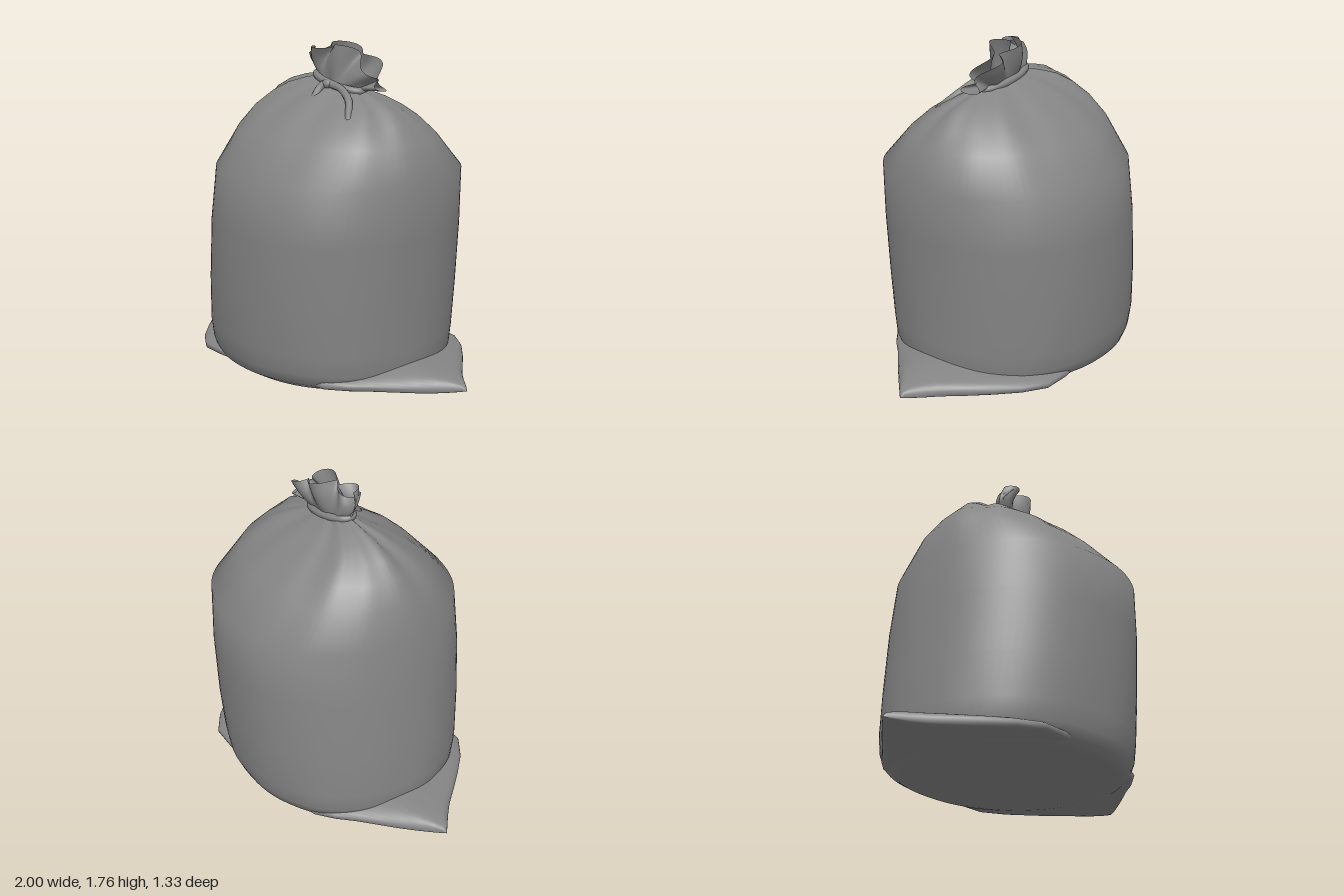
import * as THREE from 'three';

const V = (x, y, z) => new THREE.Vector3(x, y, z);
const material = new THREE.MeshStandardMaterial({ color: 0x858585, side: THREE.DoubleSide });

// Skins a list of closed rings that all have the same number of points
function loft(name, rings) {
  const n = rings[0].length, index = [];
  for (let i = 0; i < rings.length - 1; i++) {
    for (let j = 0; j < n; j++) {
      const a = i * n + j, b = i * n + (j + 1) % n;
      index.push(a, a + n, b, b, a + n, b + n);
    }
  }
  const geometry = new THREE.BufferGeometry().setFromPoints(rings.flat());
  geometry.setIndex(index);
  geometry.computeVertexNormals();
  const mesh = new THREE.Mesh(geometry, material);
  mesh.name = name;
  return mesh;
}

const ring = (n, fn) => Array.from({ length: n }, (_, j) => fn((j / n) * Math.PI * 2));
const soft = (v) => Math.sign(v) * Math.abs(v) ** 0.93;
const pleats = (u) => 0.6 * Math.cos(8 * u + 0.6) + 0.4 * Math.sin(13 * u + 1);

// Filled body, gathered towards the neck
function sackBody() {
  // height, centre x, half width, half depth, tilt, pleat depth
  const sections = [
    [0.005, 0, 0.001, 0.001, 0, 0],
    [0.005, 0, 0.58, 0.52, 0, 0],
    [0.012, 0, 0.62, 0.56, 0, 0],
    [0.04, -0.01, 0.66, 0.605, 0, 0.004],
    [0.1, -0.01, 0.68, 0.63, 0, 0.006],
    [0.2, -0.01, 0.685, 0.645, 0, 0.004],
    [0.45, 0.005, 0.68, 0.66, 0, 0],
    [0.8, 0.03, 0.672, 0.664, 0, 0],
    [1.1, 0.056, 0.66, 0.645, 0, 0.003],
    [1.29, 0.04, 0.59, 0.468, -0.01, 0.012],
    [1.39, 0.037, 0.51, 0.355, -0.03, 0.03],
    [1.46, 0.04, 0.43, 0.245, -0.05, 0.055],
    [1.505, 0.045, 0.34, 0.165, -0.08, 0.08],
    [1.535, 0.06, 0.24, 0.095, -0.13, 0.1],
    [1.555, 0.075, 0.165, 0.06, -0.17, 0.12],
  ];
  return loft('sackBody', sections.map(([y, cx, rx, rz, tilt, p]) => ring(96, (u) => {
    const k = 1 + p * pleats(u), x = rx * soft(Math.cos(u)) * k;
    return V(cx + x, y + tilt * x, rz * soft(Math.sin(u)) * k);
  })));
}

// Flattened bottom corner, swelling out of the body and ending in a point
function bottomCorner(name) {
  const tip = V(1, 0, -0.07);
  const back = new THREE.CatmullRomCurve3([V(0.1, 0, -0.56), V(0.41, 0, -0.585), V(0.64, 0, -0.41), V(0.83, 0, -0.21), tip]);
  const front = new THREE.CatmullRomCurve3([V(0.25, 0, 0.5), V(0.48, 0, 0.46), V(0.65, 0, 0.29), V(0.82, 0, 0.12), tip]);
  const rings = [];
  for (const s of [0, 0.12, 0.25, 0.38, 0.5, 0.62, 0.74, 0.84, 0.92, 0.97, 1]) {
    const a = back.getPoint(s), b = front.getPoint(s);
    const up = 0.08 * Math.sqrt(1 - s ** 4), down = 0.042 * (1 - s ** 6);
    rings.push(ring(40, (v) => {
      const p = a.clone().lerp(b, 0.5 + 0.5 * Math.cos(v)), h = Math.sin(v);
      const wrinkle = 1 + 0.08 * Math.cos(3 * v + 5 * s);
      p.y = 0.05 + (h > 0 ? up * h * wrinkle : -down * Math.sqrt(-h));
      return p;
    }));
  }
  return loft(name, rings);
}

// Crumpled mouth above the cord, fanned out and leaning to one side
function ruffle() {
  const rings = [0, 0.15, 0.35, 0.6, 0.8, 1].map((t) => ring(120, (u) => {
    const c = Math.cos(u), s = Math.sin(u), k = 1 + 0.12 * pleats(u);
    const base = V(0.075 + 0.165 * c * k, 1.555 - 0.17 * 0.165 * c * k, 0.055 * s * k);
    const rim = V(
      0.145 + 0.235 * c + 0.02 * Math.cos(8 * u),
      1.735 - 0.085 * c - 0.11 * c * c + 0.015 * Math.sin(5 * u),
      -0.045 - 0.04 * c + 0.07 * c * c + 0.05 * s + 0.036 * Math.sin(8 * u + 0.5),
    );
    const p = base.lerp(rim, t), bulge = Math.sin(Math.PI * t);
    p.x -= 0.03 * bulge * Math.max(0, -c);
    p.z += 0.012 * bulge * s;
    return p;
  }));
  return loft('ruffle', rings);
}

function cord(name, points, radius, closed = false) {
  const curve = new THREE.CatmullRomCurve3(points, closed);
  const group = new THREE.Group();
  group.name = name;
  group.add(new THREE.Mesh(new THREE.TubeGeometry(curve, closed ? 64 : 24, radius, 10, closed), material));
  // Rounded ends
  if (!closed) {
    for (const p of [points[0], points[points.length - 1]]) {
      const end = new THREE.Mesh(new THREE.SphereGeometry(radius, 10, 8), material);
      end.position.copy(p);
      group.add(end);
    }
  }
  return group;
}

export function createModel() {
  const model = new THREE.Group();
  model.name = 'tiedSack';
  model.add(sackBody(), ruffle());

  const leftCorner = bottomCorner('leftBottomCorner');
  const rightCorner = bottomCorner('rightBottomCorner');
  rightCorner.rotation.y = Math.PI;
  model.add(leftCorner, rightCorner);

  // Cord round the neck with a knot and two loose ends
  const loop = ring(16, (u) => V(0.08 + 0.175 * Math.cos(u), 1.555 - 0.032 * Math.cos(u), 0.01 + 0.075 * Math.sin(u)));
  model.add(cord('neckCord', loop, 0.02, true));
  const knot = new THREE.Mesh(new THREE.SphereGeometry(0.028, 14, 10), material);
  knot.name = 'knot';
  knot.scale.set(1.3, 0.9, 1);
  knot.position.set(0.08, 1.55, 0.095);
  model.add(knot);
  model.add(cord('shortCordEnd', [V(0.05, 1.55, 0.09), V(0.065, 1.53, 0.14), V(0.07, 1.465, 0.19)], 0.02));
  model.add(cord('longCordEnd', [V(0.1, 1.55, 0.09), V(0.2, 1.535, 0.1), V(0.29, 1.49, 0.13), V(0.37, 1.41, 0.2)], 0.02));
  return model;
}
